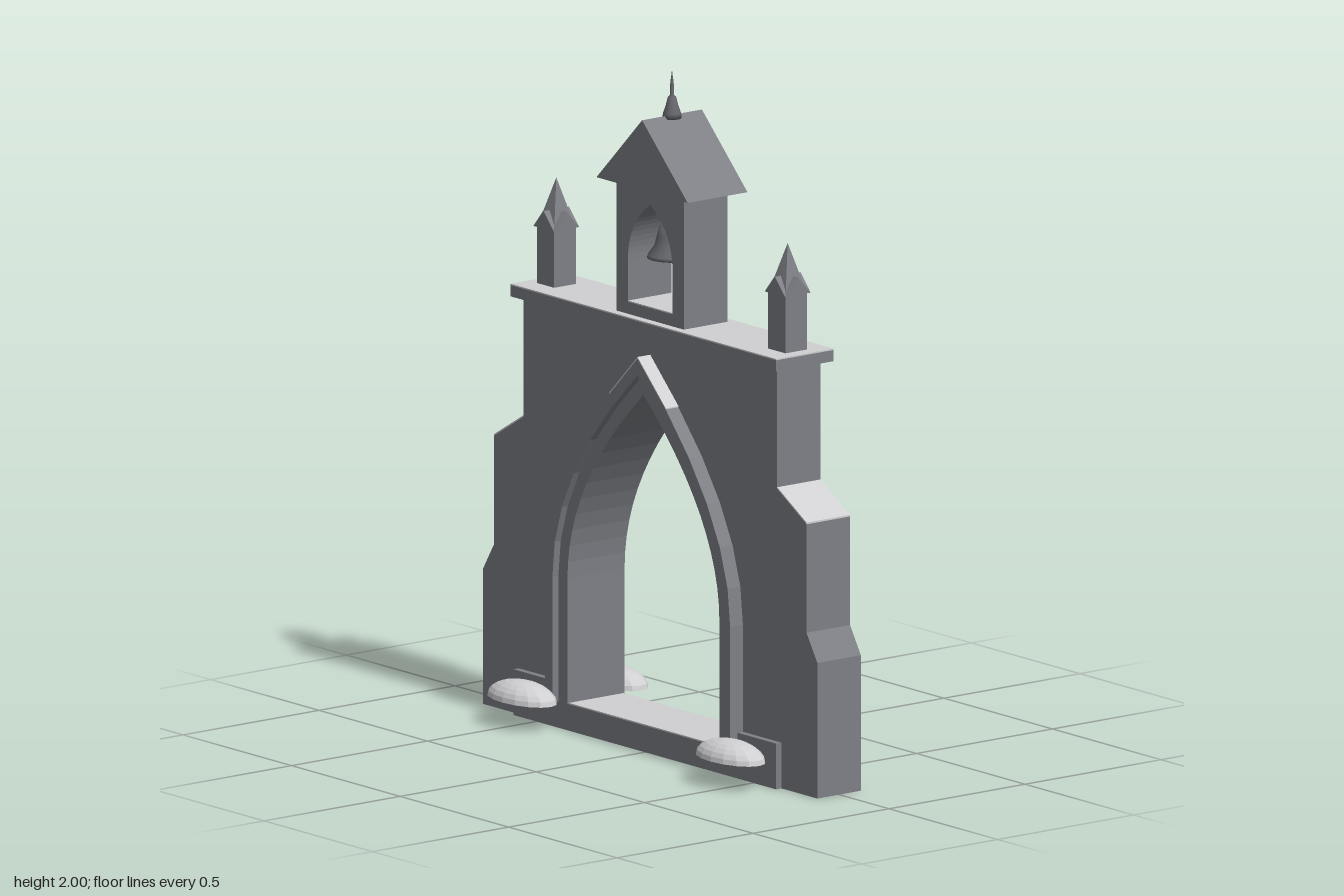
import * as THREE from 'three';

const stone = new THREE.MeshStandardMaterial({ name: 'stone', color: 0x7e8086, flatShading: true });
const snow = new THREE.MeshStandardMaterial({ name: 'snow', color: 0xd0d0d3, flatShading: true });
const metal = new THREE.MeshStandardMaterial({ name: 'darkMetal', color: 0x66686d, side: THREE.DoubleSide });
// set only colours above; the sides are shown as low-poly facets

export function createModel() {
  const root = new THREE.Group();
  root.name = 'bellGate';

  const add = (name, geo, mat, x = 0, y = 0, z = 0, parent = root) => {
    const m = new THREE.Mesh(geo, mat);
    m.name = name;
    m.position.set(x, y, z);
    parent.add(m);
    return m;
  };
  const box = (name, mat, x0, x1, y0, y1, z0, z1) =>
    add(name, new THREE.BoxGeometry(x1 - x0, y1 - y0, z1 - z0), mat, (x0 + x1) / 2, (y0 + y1) / 2, (z0 + z1) / 2);
  const extrude = (shape, z0, z1) =>
    new THREE.ExtrudeGeometry(shape, { depth: z1 - z0, bevelEnabled: false }).translate(0, 0, z0);
  const v = (x, y) => new THREE.Vector2(x, y);
  const polygon = (pts) => new THREE.Shape(pts.map(([x, y]) => v(x, y)));

  // Pointed arch outline, from the right foot over the apex to the left foot
  const arch = (w, foot, spring, apex, shoulder, n = 12) => {
    const right = new THREE.QuadraticBezierCurve(v(w, spring), v(w, shoulder), v(0, apex)).getPoints(n);
    const left = right.slice(0, -1).reverse().map((p) => v(-p.x, p.y));
    return [v(w, foot), ...right, ...left, v(-w, foot)];
  };

  // Wall with stepped buttresses and arched gateway
  const side = [[0.77, 0], [0.77, 0.4], [0.72, 0.48], [0.72, 0.8], [0.585, 0.88], [0.585, 1.24]];
  const outline = [...side.map(([x, y]) => v(x, y)), ...side.slice().reverse().map(([x, y]) => v(-x, y))];
  const gate = arch(0.38, 0, 0.45, 1.09, 0.755).reverse();
  add('wall', extrude(new THREE.Shape([...outline, ...gate]), -0.08, 0.08), stone);

  // Stepped arch moulding
  const ring = (name, outer, inner, d) =>
    add(name, extrude(new THREE.Shape([...outer, ...inner.slice().reverse()]), -d, d), stone);
  const mid = arch(0.392, 0.08, 0.45, 1.115, 0.765);
  ring('innerMoulding', mid, arch(0.35, 0.08, 0.45, 1.055, 0.74), 0.105);
  ring('outerMoulding', arch(0.427, 0.08, 0.45, 1.165, 0.78, 6), arch(0.392, 0.08, 0.45, 1.115, 0.765, 6), 0.127);

  // Plinth, threshold and cornice
  box('plinth', stone, -0.605, 0.605, 0, 0.078, -0.1, 0.1);
  box('thresholdSnow', snow, -0.35, 0.35, 0.078, 0.082, -0.1, 0.1);
  box('cornice', stone, -0.612, 0.612, 1.235, 1.268, -0.106, 0.106);
  box('corniceSnow', snow, -0.612, 0.612, 1.268, 1.272, -0.106, 0.106);

  for (const s of [-1, 1]) {
    box('plinthBlock', stone, s * 0.515 - 0.09, s * 0.515 + 0.09, 0.078, 0.135, -0.1, 0.1);

    // Snow on the buttress slope and on the crown of the moulding
    const slope = polygon([[s * 0.72, 0.8], [s * 0.585, 0.88], [s * 0.585, 0.885], [s * 0.72, 0.805]]);
    add('buttressSnow', extrude(slope, -0.08, 0.08), snow);
    const crown = polygon([[0, 1.165], [s * 0.13, 1.037], [s * 0.13, 1.042], [0, 1.17]]);
    for (const z of [-0.127, 0.08]) add('crownSnow', extrude(crown, z, z + 0.047), snow);

    // Snow drifts at the feet, front and back
    for (const z of [-1, 1]) {
      const drift = new THREE.Group();
      drift.name = 'snowDrift';
      drift.position.set(s * 0.48, 0.08, z * 0.168);
      drift.scale.set(0.133, 0.055, 0.074);
      root.add(drift);
      add('driftTop', new THREE.SphereGeometry(1, 16, 6, 0, Math.PI * 2, 0, Math.PI / 2), snow, 0, 0, 0, drift);
      add('driftBase', new THREE.CircleGeometry(1, 16).rotateX(Math.PI / 2), snow, 0, 0, 0, drift);
    }

    // Pinnacle: post, crossed gables and spire
    const pinnacle = new THREE.Group();
    pinnacle.name = 'pinnacle';
    pinnacle.position.set(s * 0.533, 1.27, 0);
    root.add(pinnacle);
    add('post', new THREE.BoxGeometry(0.08, 0.18, 0.08), stone, 0, 0.09, 0, pinnacle);
    const gable = polygon([[-0.047, 0.17], [0.047, 0.17], [0, 0.222]]);
    for (const turn of [0, Math.PI / 2])
      add('smallGable', extrude(gable, -0.047, 0.047).rotateY(turn), stone, 0, 0, 0, pinnacle);
    const spire = new THREE.ConeGeometry(0.055, 0.145, 4).rotateY(Math.PI / 4);
    add('spire', spire, stone, 0, 0.2425, 0, pinnacle);
  }

  // Bell house with arched opening and pitched roof
  const house = polygon([[-0.155, 1.27], [0.155, 1.27], [0.155, 1.665], [-0.155, 1.665]]);
  house.holes.push(new THREE.Path(arch(0.103, 1.308, 1.43, 1.612, 1.545)));
  add('bellHouse', extrude(house, -0.08, 0.08), stone);
  box('openingSnow', snow, -0.103, 0.103, 1.307, 1.311, -0.08, 0.08);
  add('roof', extrude(polygon([[-0.21, 1.66], [0.21, 1.66], [0, 1.866]]), -0.11, 0.11), stone);

  // Roof finial
  const lathe = (pts, n) => new THREE.LatheGeometry(pts.map(([r, y]) => v(r, y)), n);
  add('finial', lathe([[0, 1.855], [0.028, 1.857], [0.026, 1.872], [0.018, 1.895], [0.012, 1.92],
    [0.006, 1.925], [0.005, 1.96], [0, 2]], 10), metal);

  // Bell, clapper and hanging bar
  add('bell', lathe([[0.062, 1.45], [0.072, 1.446], [0.07, 1.456], [0.052, 1.48], [0.044, 1.51],
    [0.038, 1.535], [0.02, 1.548], [0, 1.552]], 20), metal);
  add('clapper', new THREE.SphereGeometry(0.014, 8, 6), metal, 0, 1.452, 0);
  add('clapperRod', new THREE.CylinderGeometry(0.004, 0.004, 0.09, 6), metal, 0, 1.5, 0);
  box('hangingBar', stone, -0.08, 0.08, 1.55, 1.567, -0.012, 0.012);

  return root;
}
